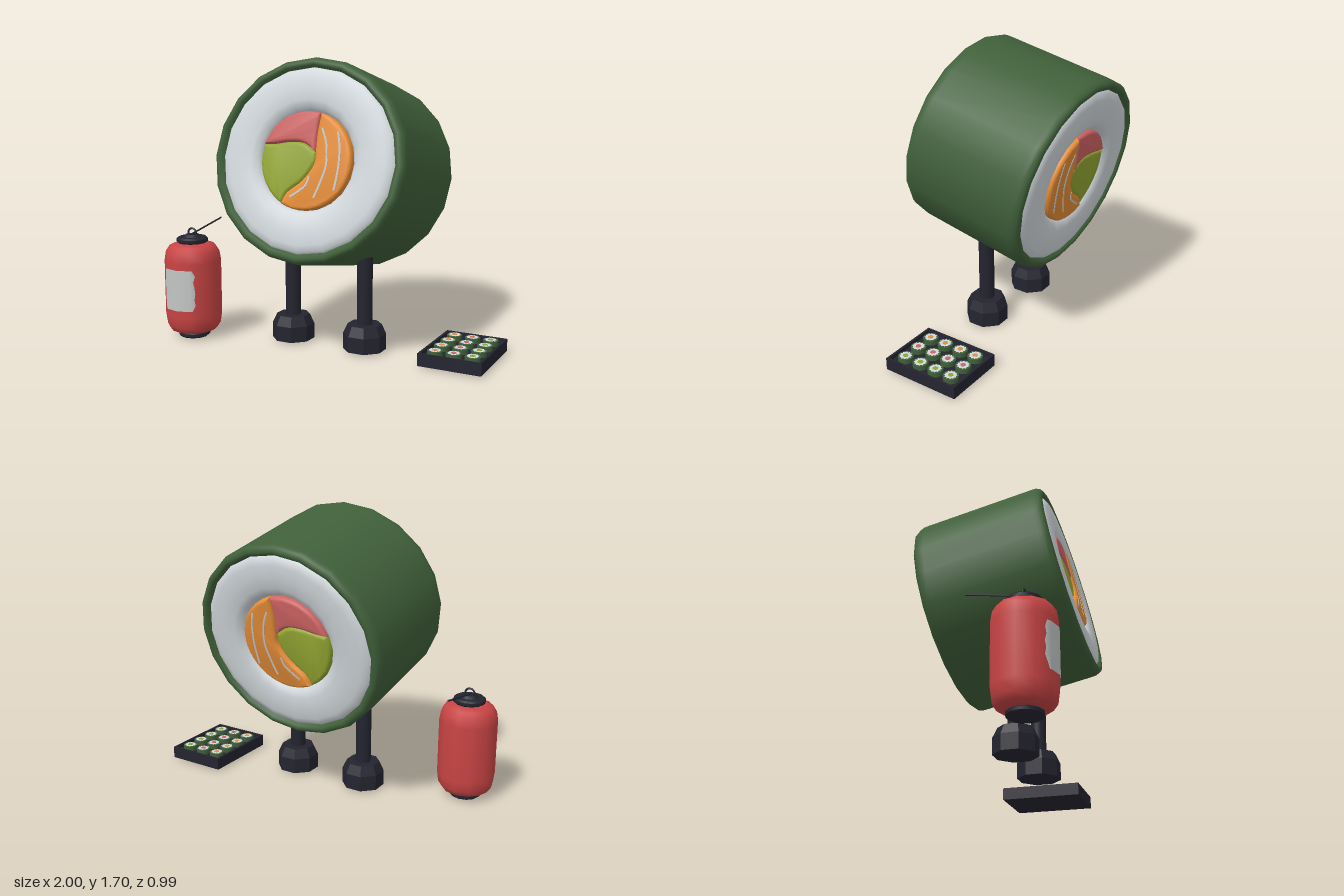
import * as THREE from 'three';
import { toCreasedNormals } from 'three/addons/utils/BufferGeometryUtils.js';

const mat = (name, color) => {
  const m = new THREE.MeshStandardMaterial({ color });
  m.name = name;
  return m;
};
const V = (x, y) => new THREE.Vector2(x, y);
const pts = (list) => list.map(([x, y]) => V(x, y));
const spline = (list, n) => new THREE.SplineCurve(pts(list)).getPoints(n);

export function createModel() {
  const seaweed = mat('seaweed green', 0x40603a);
  const rice = mat('rice white', 0xd2d8dc);
  const salmon = mat('salmon orange', 0xea9038);
  const tuna = mat('tuna pink', 0xcf6464);
  const avocado = mat('avocado green', 0x92a532);
  const dark = mat('dark lacquer', 0x242430);
  const red = mat('lantern red', 0xc94444);
  const pale = mat('label grey', 0xc4c6c6);

  const model = new THREE.Group();
  const add = (parent, name, geo, material, x = 0, y = 0, z = 0) => {
    const m = new THREE.Mesh(geo, material);
    m.name = name;
    m.position.set(x, y, z);
    parent.add(m);
    return m;
  };

  // Big roll, tilted back; its axis runs along z
  const roll = new THREE.Group();
  roll.name = 'sushiRoll';
  roll.position.set(0, 1.06, 0);
  roll.rotation.x = -0.207;
  roll.scale.y = 0.97;
  model.add(roll);

  // Ring profiles are given from the middle to the front and mirrored
  const ring = (half) => {
    const back = half.map(([r, h]) => [r, -h]).reverse();
    return new THREE.LatheGeometry(pts([...back, ...half]), 20).rotateX(Math.PI / 2);
  };
  add(roll, 'seaweedWrap', ring([[0.6, 0.33], [0.599, 0.355], [0.59, 0.38], [0.57, 0.392],
    [0.55, 0.386], [0.535, 0.36]]), seaweed);
  const face = [[0.54, 0.365], [0.525, 0.383], [0.49, 0.394], [0.42, 0.398], [0.35, 0.392],
    [0.31, 0.375], [0.288, 0.345], [0.285, 0.31]];
  const backFace = face.map(([r, h]) => [r, -h]).reverse();
  add(roll, 'riceRing', new THREE.LatheGeometry(pts([...face, ...backFace]), 20)
    .rotateX(Math.PI / 2), rice);

  // Fillings share the dividing curves and run through the whole roll
  const arc = (a, b) => Array.from({ length: 25 }, (_, i) => {
    const t = THREE.MathUtils.degToRad(a + (b - a) * i / 24);
    return V(0.287 * Math.cos(t), 0.287 * Math.sin(t));
  });
  const upper = spline([[0.074, 0.277], [0.06, 0.16], [0.06, 0.05]], 10);
  const lower = spline([[0.06, 0.05], [0.055, -0.02], [-0.01, -0.115], [-0.1, -0.19],
    [-0.132, -0.255]], 16);
  const across = spline([[-0.274, 0.084], [-0.2, 0.09], [-0.11, 0.105], [-0.02, 0.1],
    [0.06, 0.05]], 14);
  const rev = (a) => [...a].reverse();
  const filling = (name, material, half, ...runs) => {
    const outline = runs.flatMap((run) => run.slice(0, -1));
    const bevel = 0.025;
    const depth = 2 * (half - bevel);
    const geo = new THREE.ExtrudeGeometry(new THREE.Shape(outline), {
      depth, bevelThickness: bevel, bevelSize: 0.02, bevelOffset: -0.02, bevelSegments: 4,
    });
    add(roll, name, toCreasedNormals(geo.translate(0, 0, -depth / 2), 0.7), material);
  };
  filling('salmonFilling', salmon, 0.39, arc(-117.5, 75), upper, lower);
  filling('tunaFilling', tuna, 0.384, arc(75, 163), across, rev(upper));
  filling('avocadoFilling', avocado, 0.378, arc(163, 242.5), rev(lower), rev(across));

  // Pale fat lines on both ends of the salmon
  const ribbon = (list, w) => {
    const curve = new THREE.SplineCurve(pts(list));
    const side = (s) => Array.from({ length: 17 }, (_, i) => {
      const p = curve.getPoint(i / 16), t = curve.getTangent(i / 16);
      return V(p.x - t.y * w * s, p.y + t.x * w * s);
    });
    return new THREE.ExtrudeGeometry(new THREE.Shape([...side(1), ...rev(side(-1))]),
      { depth: 0.004, bevelEnabled: false });
  };
  const lines = [
    [[0.095, 0.19], [0.13, 0.1], [0.14, -0.02], [0.11, -0.13], [0.08, -0.21]],
    [[0.195, 0.17], [0.213, 0.08], [0.215, -0.04], [0.2, -0.16]],
    [[0.04, -0.09], [0.025, -0.14], [-0.02, -0.18], [-0.07, -0.215]],
  ];
  for (const line of lines) {
    for (const z of [0.388, -0.392]) add(roll, 'salmonLine', ribbon(line, 0.006), pale, 0, 0, z);
  }

  // Legs and octagonal feet
  for (const s of [-1, 1]) {
    const leg = new THREE.Group();
    leg.name = s > 0 ? 'leftLeg' : 'rightLeg';
    leg.position.set(s * 0.24, 0, 0.095);
    model.add(leg);
    add(leg, 'post', new THREE.CylinderGeometry(0.046, 0.046, 0.46, 12), dark, 0, 0.37, 0);
    const foot = toCreasedNormals(new THREE.LatheGeometry(pts([[0, 0.012], [0.127, 0.012],
      [0.127, 0.105], [0.1, 0.162], [0, 0.162]]), 8).rotateY(Math.PI / 8), 0.4);
    add(leg, 'foot', foot, dark);
  }

  // Paper lantern
  const lantern = new THREE.Group();
  lantern.name = 'lantern';
  lantern.position.set(-0.825, 0, 0.31);
  model.add(lantern);
  add(lantern, 'lanternBody', new THREE.LatheGeometry(pts([[0, 0.035], [0.1, 0.037],
    [0.14, 0.05], [0.163, 0.085], [0.172, 0.15], [0.172, 0.48], [0.163, 0.535], [0.14, 0.572],
    [0.1, 0.588], [0, 0.59]]), 12), red);
  const cap = (flip) => new THREE.LatheGeometry(pts([[0, 0], [0.085, 0], [0.096, 0.01],
    [0.096, 0.026], [0.085, 0.036], [0, 0.036]]), 12);
  add(lantern, 'bottomCap', toCreasedNormals(cap(), 0.7), dark, 0, 0.003, 0);
  add(lantern, 'topCap', toCreasedNormals(cap(), 0.7), dark, 0, 0.587, 0);
  add(lantern, 'neck', new THREE.CylinderGeometry(0.04, 0.06, 0.02, 10), dark, 0, 0.628, 0);
  add(lantern, 'hangingRing', new THREE.TorusGeometry(0.029, 0.006, 6, 16), dark, 0, 0.645, 0);
  const rod = new THREE.LineCurve3(new THREE.Vector3(0, 0.635, 0.03),
    new THREE.Vector3(0, 0.692, -0.31));
  add(lantern, 'hangingRod', new THREE.TubeGeometry(rod, 1, 0.005, 6), dark);

  // Blank paper label with a ragged outline, folded over the lantern's front facets
  const label = new THREE.PlaneGeometry(1, 0.25, 4, 7);
  const p = label.attributes.position;
  const leftEdge = [0.1, 0.108, 0.103, 0.11, 0.105, 0.11, 0.1, 0.092];
  const rightEdge = [0.095, 0.108, 0.1, 0.105, 0.108, 0.104, 0.108, 0.095];
  for (let i = 0; i < p.count; i++) {
    const col = i % 5, row = Math.floor(i / 5);
    const x = [-leftEdge[row], -0.086, 0, 0.086, rightEdge[row]][col];
    const a = Math.abs(x);
    const z = a <= 0.086 ? 0.172 - a * 0.268 : 0.149 - (a - 0.086);
    p.setXYZ(i, x, p.getY(i), z + 0.003);
  }
  label.computeVertexNormals();
  const plate = add(lantern, 'paperLabel', label, pale, 0, 0.32, 0);
  plate.material.side = THREE.DoubleSide;

  // Serving tray with a rim
  const tray = new THREE.Group();
  tray.name = 'tray';
  tray.position.set(0.815, 0, 0);
  model.add(tray);
  add(tray, 'trayBase', new THREE.BoxGeometry(0.37, 0.05, 0.48), dark, 0, 0.037, 0);
  for (const s of [-1, 1]) {
    add(tray, 'trayLongRim', new THREE.BoxGeometry(0.014, 0.03, 0.48), dark, s * 0.178, 0.07, 0);
    add(tray, 'trayShortRim', new THREE.BoxGeometry(0.37, 0.03, 0.014), dark, 0, 0.07, s * 0.233);
  }

  // Twelve small rolls, one filling per column
  const star = new THREE.Shape(Array.from({ length: 24 }, (_, i) => {
    const r = i % 2 ? 0.03 : 0.038, t = i * Math.PI / 12;
    return V(r * Math.cos(t), r * Math.sin(t));
  }));
  const starGeo = new THREE.ShapeGeometry(star).rotateX(-Math.PI / 2);
  const wrapGeo = new THREE.CylinderGeometry(0.045, 0.045, 0.04, 12);
  const centreGeo = new THREE.CylinderGeometry(0.016, 0.016, 0.004, 8);
  [salmon, tuna, avocado].forEach((material, c) => {
    for (let r = 0; r < 4; r++) {
      const x = (c - 1) * 0.11, z = (r - 1.5) * 0.107;
      add(tray, 'smallRollWrap', wrapGeo, seaweed, x, 0.07, z);
      add(tray, 'smallRollRice', starGeo, rice, x, 0.092, z);
      add(tray, 'smallRollFilling', centreGeo, material, x, 0.092, z);
    }
  });

  return model;
}
